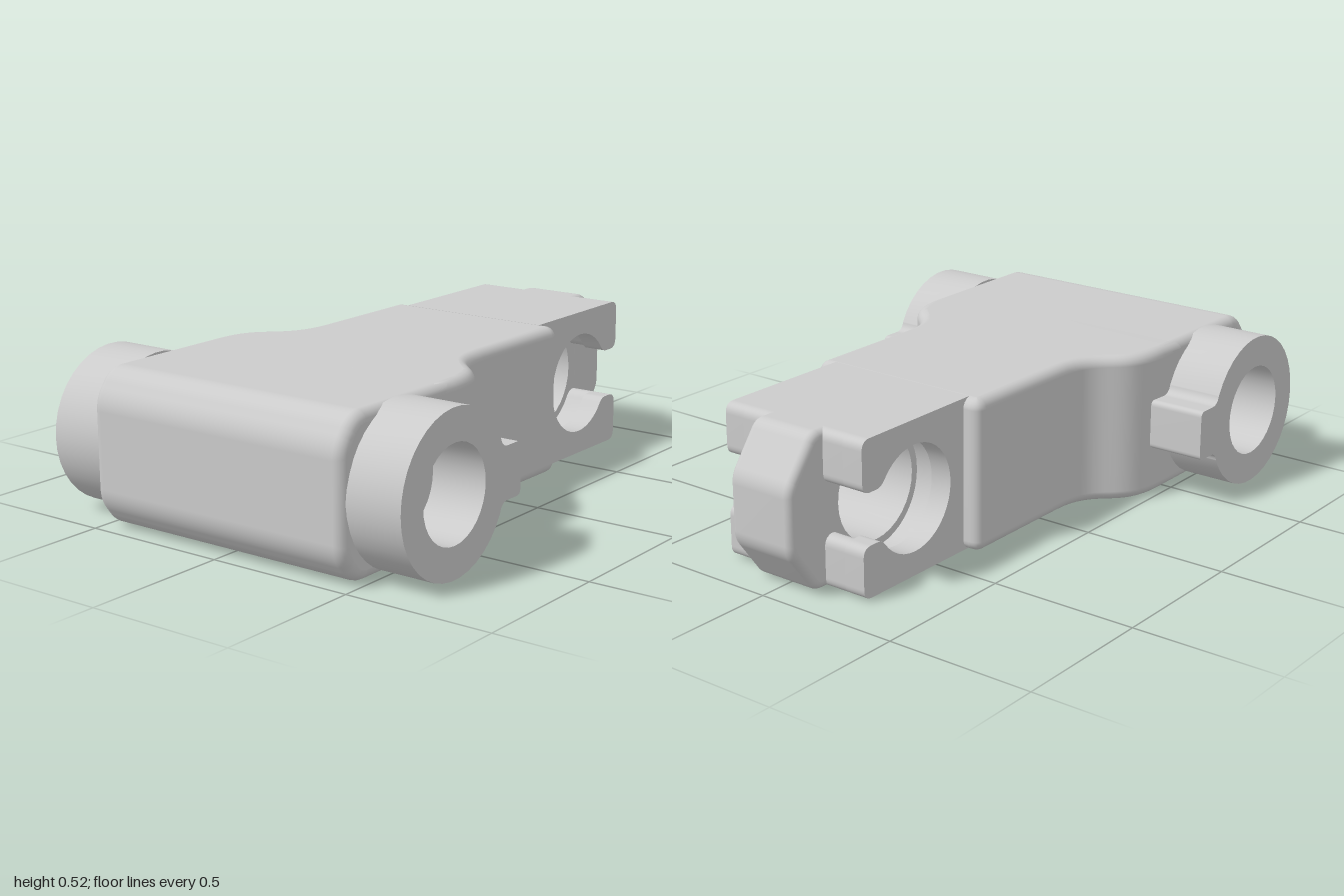
import * as THREE from 'three';

const MID_Y = 0.265, LOW = 0.01, HIGH = 0.52;
const PIN = { u: -0.72, r: 0.155 };   // front bore (u = -z)
const HOOK = { u: 0.61, r: 0.175 };   // rear bore
const material = new THREE.MeshStandardMaterial({ color: 0xcccccc });

// Area-weighted smooth normals, kept sharp across edges steeper than the given angle
function smooth(source, angle = 0.5) {
  const geo = source.index ? source.toNonIndexed() : source;
  const pos = geo.attributes.position, faces = [], corners = new Map(), out = [];
  const key = i => [pos.getX(i), pos.getY(i), pos.getZ(i)].map(v => Math.round(v * 1e4)).join();
  const a = new THREE.Vector3(), b = new THREE.Vector3(), c = new THREE.Vector3();
  for (let i = 0; i < pos.count; i += 3) {
    [a, b, c].forEach((p, k) => p.fromBufferAttribute(pos, i + k));
    const area = b.sub(a).clone().cross(c.sub(a));
    const face = { area, unit: area.clone().normalize() };
    faces.push(face);
    for (let k = 0; k < 3; k++) {
      const id = key(i + k);
      if (!corners.has(id)) corners.set(id, []);
      corners.get(id).push(face);
    }
  }
  for (let i = 0; i < pos.count; i++) {
    const own = faces[Math.floor(i / 3)].unit, n = new THREE.Vector3();
    for (const f of corners.get(key(i))) if (f.unit.dot(own) > Math.cos(angle)) n.add(f.area);
    n.normalize();
    out.push(n.x, n.y, n.z);
  }
  geo.setAttribute('normal', new THREE.Float32BufferAttribute(out, 3));
  return geo;
}

// Closed polygon from [x, y, cornerRadius] points
function roundedPoly(points) {
  const shape = new THREE.Shape(), n = points.length;
  points.forEach(([x, y, r = 0], i) => {
    const p = new THREE.Vector2(x, y);
    const toward = ([qx, qy]) => new THREE.Vector2(qx - x, qy - y).setLength(r).add(p);
    const start = r ? toward(points[(i + n - 1) % n]) : p;
    if (i === 0) shape.moveTo(start.x, start.y); else shape.lineTo(start.x, start.y);
    if (r) {
      const end = toward(points[(i + 1) % n]);
      shape.quadraticCurveTo(x, y, end.x, end.y);
    }
  });
  shape.closePath();
  return shape;
}

function addBore(shape, { u, r }) {
  shape.holes.push(new THREE.Path().absarc(u, MID_Y, r, 0, Math.PI * 2, true));
  return shape;
}

function extrude(shape, length, bevel) {
  const geo = new THREE.ExtrudeGeometry(shape, {
    depth: length - 2 * bevel, curveSegments: 16, bevelEnabled: bevel > 0,
    bevelThickness: bevel, bevelSize: bevel, bevelOffset: -bevel, bevelSegments: 5,
  });
  return geo.translate(0, 0, bevel);
}

// Side profile (u = -z, y) extruded across the width from x0 to x1
function across(name, shape, x0, x1, bevel = 0) {
  const geo = extrude(shape, x1 - x0, bevel).rotateY(Math.PI / 2).translate(x0, 0, 0);
  const mesh = new THREE.Mesh(smooth(geo), material);
  mesh.name = name;
  return mesh;
}

// Waist seen from above (x, z): narrow at the back, flared shoulders at the front
function waistShape() {
  const s = new THREE.Shape(), w = 0.335, W = 0.49, back = -0.37, r = 0.04;
  s.moveTo(-w + r, back);
  s.lineTo(w - r, back);
  s.quadraticCurveTo(w, back, w, back + r);
  s.lineTo(w, 0.07);
  s.bezierCurveTo(w, 0.3, W, 0.2, W, 0.45);
  s.lineTo(W, 0.55);
  s.lineTo(-W, 0.55);
  s.lineTo(-W, 0.45);
  s.bezierCurveTo(-W, 0.2, -w, 0.3, -w, 0.07);
  s.lineTo(-w, back + r);
  s.quadraticCurveTo(-w, back, -w + r, back);
  return s;
}

// Round boss with a small key pointing backward
function bossShape() {
  const s = new THREE.Shape(), R = 0.26, a = 0.46, end = -0.38, h = 0.085, r = 0.02;
  s.absarc(PIN.u, MID_Y, R, a, Math.PI * 2 - a, false);
  s.quadraticCurveTo(-0.48, MID_Y - h, -0.45, MID_Y - h);
  s.lineTo(end - r, MID_Y - h);
  s.quadraticCurveTo(end, MID_Y - h, end, MID_Y - h + r);
  s.lineTo(end, MID_Y + h - r);
  s.quadraticCurveTo(end, MID_Y + h, end - r, MID_Y + h);
  s.lineTo(-0.45, MID_Y + h);
  s.quadraticCurveTo(-0.48, MID_Y + h, PIN.u + R * Math.cos(a), MID_Y + R * Math.sin(a));
  return addBore(s, PIN);
}

// Rear cheek: a C open to the back, with rounded lips
function cheekShape(radius) {
  const s = new THREE.Shape(), back = 0.85, h = 0.085, r = 0.035;
  const a = Math.asin(h / radius) + 0.12;
  const tip = HOOK.u + radius * Math.cos(a) + 0.035;
  s.moveTo(0.34, LOW);
  s.lineTo(back - r, LOW);
  s.quadraticCurveTo(back, LOW, back, LOW + r);
  s.lineTo(back, MID_Y - h - r);
  s.quadraticCurveTo(back, MID_Y - h, back - r, MID_Y - h);
  s.lineTo(tip, MID_Y - h);
  s.quadraticCurveTo(tip - 0.02, MID_Y - h, HOOK.u + radius * Math.cos(a), MID_Y - radius * Math.sin(a));
  s.absarc(HOOK.u, MID_Y, radius, -a, a, true);
  s.quadraticCurveTo(tip - 0.02, MID_Y + h, tip, MID_Y + h);
  s.lineTo(back - r, MID_Y + h);
  s.quadraticCurveTo(back, MID_Y + h, back, MID_Y + h + r);
  s.lineTo(back, HIGH - r);
  s.quadraticCurveTo(back, HIGH, back - r, HIGH);
  s.lineTo(0.34, HIGH);
  s.closePath();
  return s;
}

export function createModel() {
  const model = new THREE.Group();
  model.name = 'link';

  // Wide front block with chamfered nose and cross bore
  const front = roundedPoly([
    [-0.47, LOW], [-0.47, HIGH], [-0.935, HIGH, 0.05], [-1, 0.43, 0.04],
    [-1, 0.1, 0.04], [-0.935, LOW, 0.05],
  ].reverse());
  model.add(across('frontBlock', addBore(front, PIN), -0.49, 0.49, 0.035));

  // Flared waist
  const waistGeo = extrude(waistShape(), HIGH - LOW, 0.035).rotateX(Math.PI / 2).translate(0, HIGH, 0);
  const waist = new THREE.Mesh(smooth(waistGeo), material);
  waist.name = 'waist';
  model.add(waist);

  // Rear core around the bore
  const core = roundedPoly([[0.34, LOW], [0.85, LOW, 0.035], [0.85, HIGH, 0.035], [0.34, HIGH]]);
  model.add(across('rearCore', addBore(core, HOOK), -0.12, 0.12));

  // Bosses and cheeks on both sides; a recess sits inside each cheek
  for (const [side, sign] of [['left', 1], ['right', -1]]) {
    const pair = (name, shape, inner, outer) =>
      model.add(across(side + name, shape, Math.min(sign * inner, sign * outer), Math.max(sign * inner, sign * outer)));
    pair('Boss', bossShape(), 0.47, 0.68);
    pair('CheekRecess', cheekShape(0.2), 0.12, 0.2);
    pair('Cheek', cheekShape(HOOK.r), 0.2, 0.275);
  }

  // Tapered tongue at the back
  const tongue = roundedPoly([
    [0.81, LOW], [0.89, LOW, 0.03], [1, 0.16, 0.03], [1, 0.37, 0.03], [0.89, HIGH, 0.03], [0.81, HIGH],
  ]);
  model.add(across('tongue', tongue, -0.122, 0.122, 0.025));

  return model;
}
